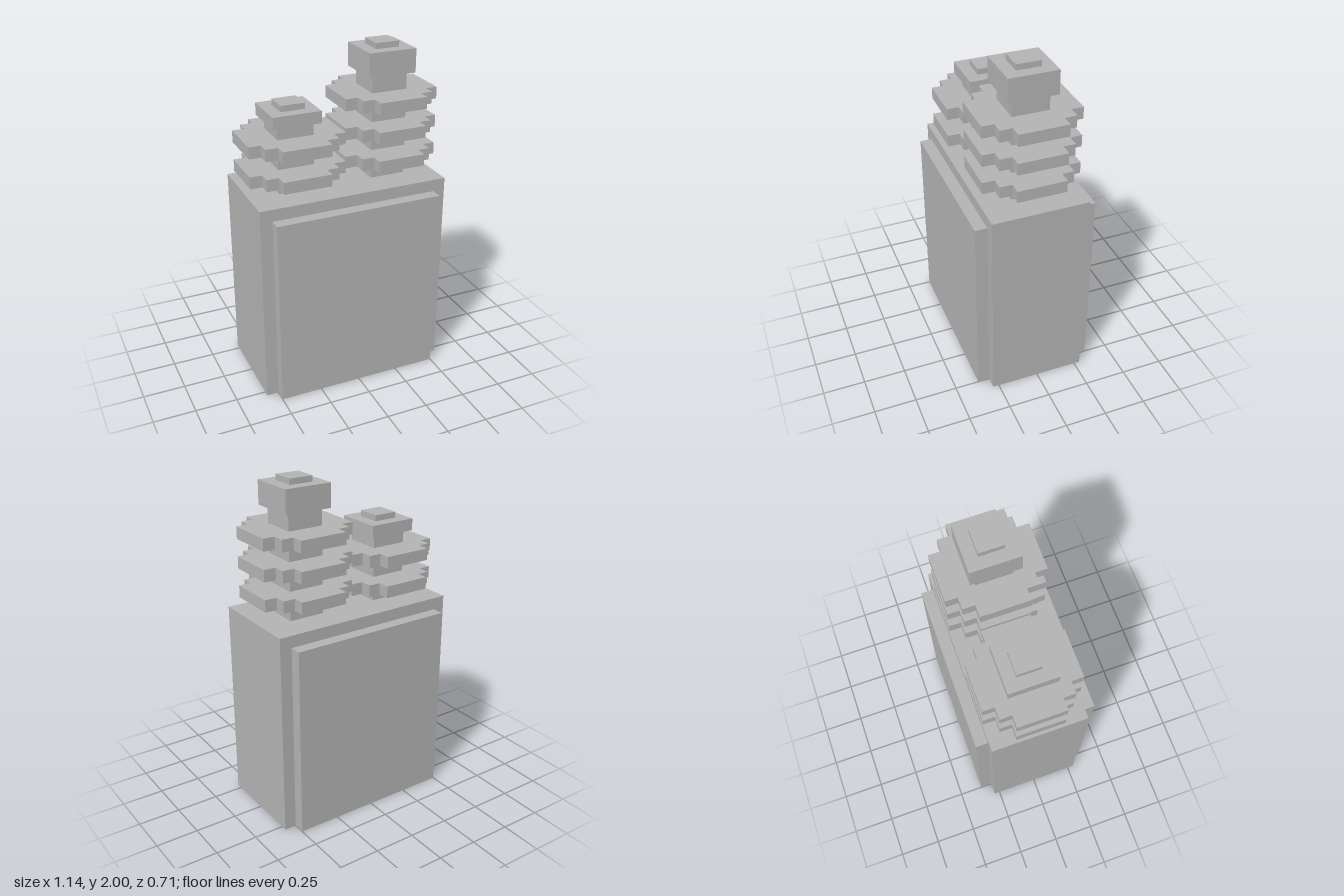
import * as THREE from 'three';

const U = 1 / 14; // modelling unit

export function createModel() {
  const group = new THREE.Group();
  const grey = new THREE.MeshStandardMaterial({ color: 0xb2b2b2 });
  grey.name = 'grey';

  // Box spanning y0..y1, centred on x, z
  function block(parent, name, w, d, y0, y1, x = 0, z = 0) {
    const mesh = new THREE.Mesh(new THREE.BoxGeometry(w, y1 - y0, d), grey);
    mesh.name = name;
    mesh.position.set(x, (y0 + y1) / 2, z);
    parent.add(mesh);
  }

  // Stepped disc outline: one corner turned through four quarters
  const corner = [[4, -2], [4, 2], [3, 2], [3, 3], [2, 3], [2, 4]].slice(1);
  const outline = [];
  for (let q = 0; q < 4; q++) {
    for (const [a, b] of corner) {
      let x = a, y = b;
      for (let i = 0; i < q; i++) [x, y] = [-y, x];
      outline.push(new THREE.Vector2(x * U, y * U));
    }
  }
  const discShape = new THREE.Shape(outline);

  function disc(parent, y0, y1) {
    const geo = new THREE.ExtrudeGeometry(discShape, { depth: y1 - y0, bevelEnabled: false });
    geo.rotateX(-Math.PI / 2);
    const mesh = new THREE.Mesh(geo, grey);
    mesh.name = 'insulatorDisc';
    mesh.position.y = y0;
    parent.add(mesh);
  }

  // Main body with a raised panel on front and back
  const bodyTop = 17 * U;
  block(group, 'body', 16 * U, 8 * U, 0, bodyTop);
  for (const s of [1, -1]) {
    block(group, s > 0 ? 'frontPanel' : 'backPanel', 14 * U, U, 0, 16 * U, 0, s * 4.5 * U);
  }

  // Stacked tower: stem, discs, cap and knob
  function tower(name, x, discs, capBase, capTop, top) {
    const t = new THREE.Group();
    t.name = name;
    t.position.x = x;
    block(t, 'stem', 3 * U, 3 * U, bodyTop, capBase);
    for (const [y0, y1] of discs) disc(t, y0, y1);
    block(t, 'cap', 4 * U, 4 * U, capBase, capTop);
    block(t, 'knob', 2 * U, 2 * U, capTop, top);
    group.add(t);
  }
  tower('shortTower', -4 * U, [[1.29, 1.36], [1.465, 1.535]], 1.61, 1.68, 1.715);
  tower('tallTower', 4 * U, [[1.317, 1.387], [1.487, 1.557], [1.657, 1.727]], 1.827, 1.966, 2);

  return group;
}
